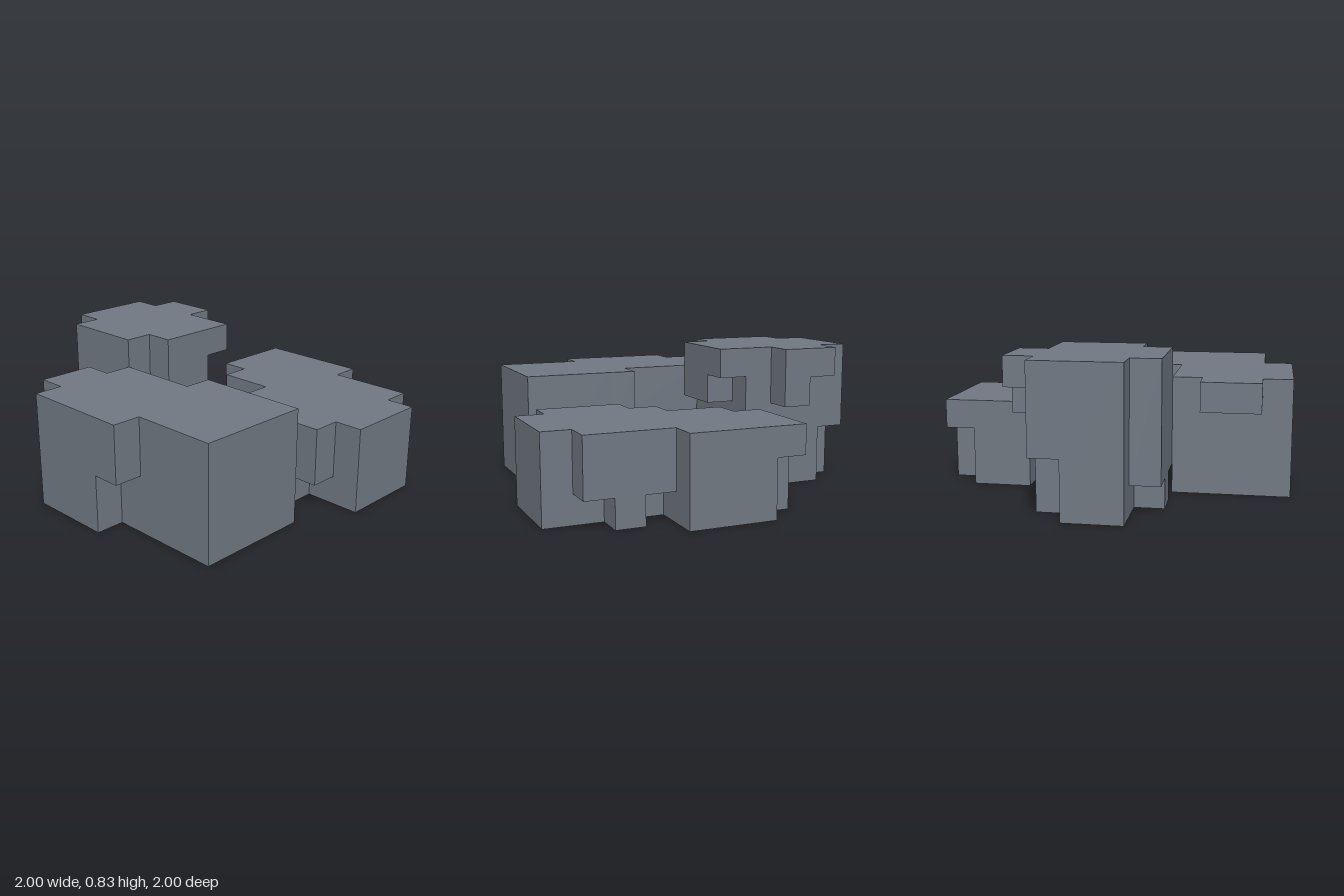
import * as THREE from 'three';

// One block of the stone grid
const U = 1 / 6;

// Each rock is a list of blocks: [name, x0, x1, y0, y1, z0, z1] in grid units
const ROCKS = {
  sideRock: [
    ['core', -5, -2, 0, 4, -2, 5],
    ['outerFlank', -6, -5, 0, 4, -2, 1],
    ['outerLedge', -6, -5, 2, 4, 1, 2],
    ['innerFlank', -2, -1, 0, 4, 2, 5],
    ['innerLedge', -2, -1, 2, 4, 1, 2],
    ['backLedge', -5, -3, 3, 4, -3, -2],
  ],
  tallBackRock: [
    ['core', -1, 2, 0, 5, -5, -2],
    ['backFlank', -1, 1, 0, 5, -6, -5],
    ['backLedge', 1, 2, 2, 5, -6, -5],
    ['sideFlank', -2, -1, 1, 5, -5, -2],
    ['sideFoot', -2, -1, 0, 1, -4, -3],
    ['lowOverhang', 2, 3, 3, 5, -4, -3],
    ['highOverhang', 2, 3, 4, 5, -5, -4],
    ['frontOverhang', -1, 1, 3, 5, -2, -1],
    ['frontLip', 1, 2, 4, 5, -2, -1],
  ],
  lowFrontRock: [
    ['core', 1, 4, 0, 3, 1, 6],
    ['rearCore', 2, 5, 0, 3, -1, 1],
    ['rearFlank', 3, 5, 0, 3, -2, -1],
    ['rearLedge', 5, 6, 2, 3, -2, -1],
    ['outerFlank', 5, 6, 0, 3, -1, 2],
    ['cornerFill', 4, 5, 0, 3, 1, 2],
    ['outerOverhang', 4, 5, 1, 3, 2, 5],
    ['outerFoot', 4, 5, 0, 1, 3, 4],
    ['innerOverhang', 0, 1, 1, 3, 2, 5],
    ['innerFoot', 0, 1, 0, 1, 3, 4],
  ],
};

export function createModel() {
  const stone = new THREE.MeshStandardMaterial({ color: 0x707882 });
  stone.name = 'stone grey';

  const model = new THREE.Group();
  model.name = 'rocks';

  for (const [rockName, blocks] of Object.entries(ROCKS)) {
    const rock = new THREE.Group();
    rock.name = rockName;
    for (const [name, x0, x1, y0, y1, z0, z1] of blocks) {
      const geometry = new THREE.BoxGeometry((x1 - x0) * U, (y1 - y0) * U, (z1 - z0) * U);
      const block = new THREE.Mesh(geometry, stone);
      block.name = name;
      block.position.set(x0 + x1, y0 + y1, z0 + z1).multiplyScalar(U / 2);
      rock.add(block);
    }
    model.add(rock);
  }
  return model;
}
